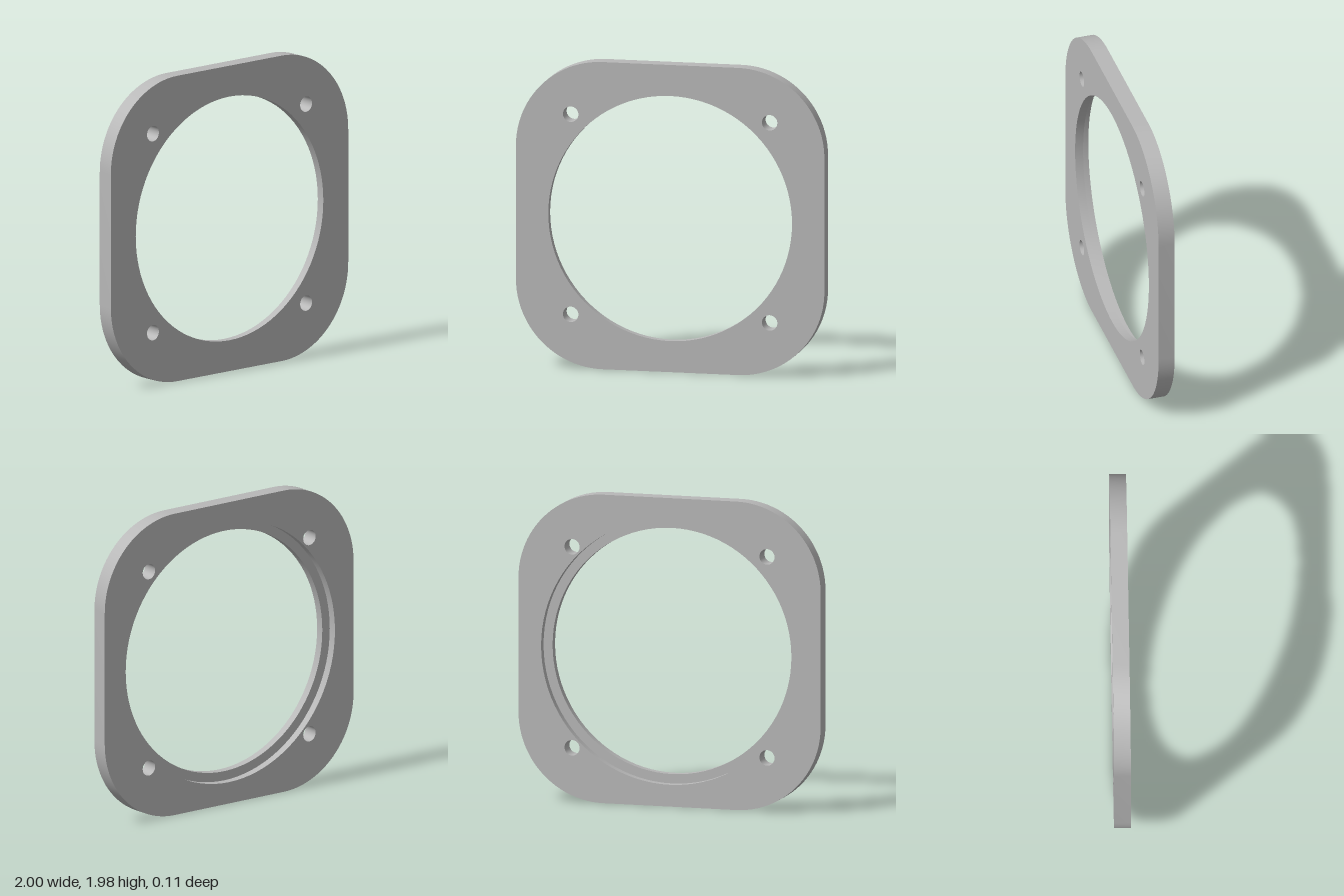
import * as THREE from 'three';
import { mergeGeometries, mergeVertices, toCreasedNormals } from 'three/addons/utils/BufferGeometryUtils.js';

const W = 1, H = 0.99, HALF = 0.053;       // half width, half height, half thickness
const CORNER = 0.56;                       // outer corner radius
const BORE = 0.79, RECESS = 0.85, STEP = 0; // opening, rear recess, ledge depth position
const BOLT = 0.645, BOLT_R = 0.05;         // bolt hole offset and radius

// Counter-clockwise arc points
function arc(cx, cy, r, start, sweep, n, closed) {
  const points = [];
  for (let i = 0; i < (closed ? n : n + 1); i++) {
    const a = start + (sweep * i) / n;
    points.push(new THREE.Vector2(cx + r * Math.cos(a), cy + r * Math.sin(a)));
  }
  return points;
}
const circle = (r, n, cx = 0, cy = 0) => arc(cx, cy, r, 0, Math.PI * 2, n, true);

// Rounded outline of the plate
function outline() {
  const x = W - CORNER, y = H - CORNER;
  return [[x, y], [-x, y], [-x, -y], [x, -y]].flatMap(([cx, cy], i) =>
    arc(cx, cy, CORNER, (i * Math.PI) / 2, Math.PI / 2, 24, false));
}

// Flat face with holes, facing +z or, when flipped, -z
function face(edge, holes, z, flip) {
  const shape = new THREE.Shape(edge);
  shape.holes = holes.map((h) => new THREE.Path(h));
  const geo = new THREE.ShapeGeometry(shape);
  if (flip) geo.rotateY(Math.PI);
  return geo.translate(0, 0, z).toNonIndexed();
}

// Straight wall along a closed loop; inward walls face the loop's centre
function wall(loop, z0, z1, inward) {
  const pts = inward ? [...loop].reverse() : loop;
  const pos = [];
  pts.forEach((p, i) => {
    const q = pts[(i + 1) % pts.length];
    pos.push(p.x, p.y, z0, q.x, q.y, z0, q.x, q.y, z1);
    pos.push(p.x, p.y, z0, q.x, q.y, z1, p.x, p.y, z1);
  });
  const geo = new THREE.BufferGeometry();
  geo.setAttribute('position', new THREE.Float32BufferAttribute(pos, 3));
  return geo;
}

export function createModel() {
  const group = new THREE.Group();
  group.name = 'mountingPlate';
  const grey = new THREE.MeshStandardMaterial({ color: 0xb8b8b8 });
  grey.name = 'plate grey';

  const edge = outline();
  const bore = circle(BORE, 96), recess = circle(RECESS, 96);
  const bolts = [[1, 1], [-1, 1], [-1, -1], [1, -1]].map(([sx, sy]) =>
    circle(BOLT_R, 32, sx * BOLT, sy * BOLT));

  const parts = [
    face(edge, [bore, ...bolts], HALF, false),    // front face
    face(edge, [recess, ...bolts], -HALF, true),  // back face
    face(recess, [bore], STEP, true),             // ledge inside the rear recess
    wall(edge, -HALF, HALF, false),               // outer rim
    wall(bore, STEP, HALF, true),                 // opening
    wall(recess, -HALF, STEP, true),              // rear recess
    ...bolts.map((b) => wall(b, -HALF, HALF, true)), // bolt holes
  ];
  for (const p of parts) {
    p.deleteAttribute('normal');
    p.deleteAttribute('uv');
  }
  const geo = toCreasedNormals(mergeVertices(mergeGeometries(parts)), Math.PI / 6);

  const plate = new THREE.Mesh(geo, grey);
  plate.name = 'plate';
  plate.position.y = H;
  group.add(plate);
  return group;
}
